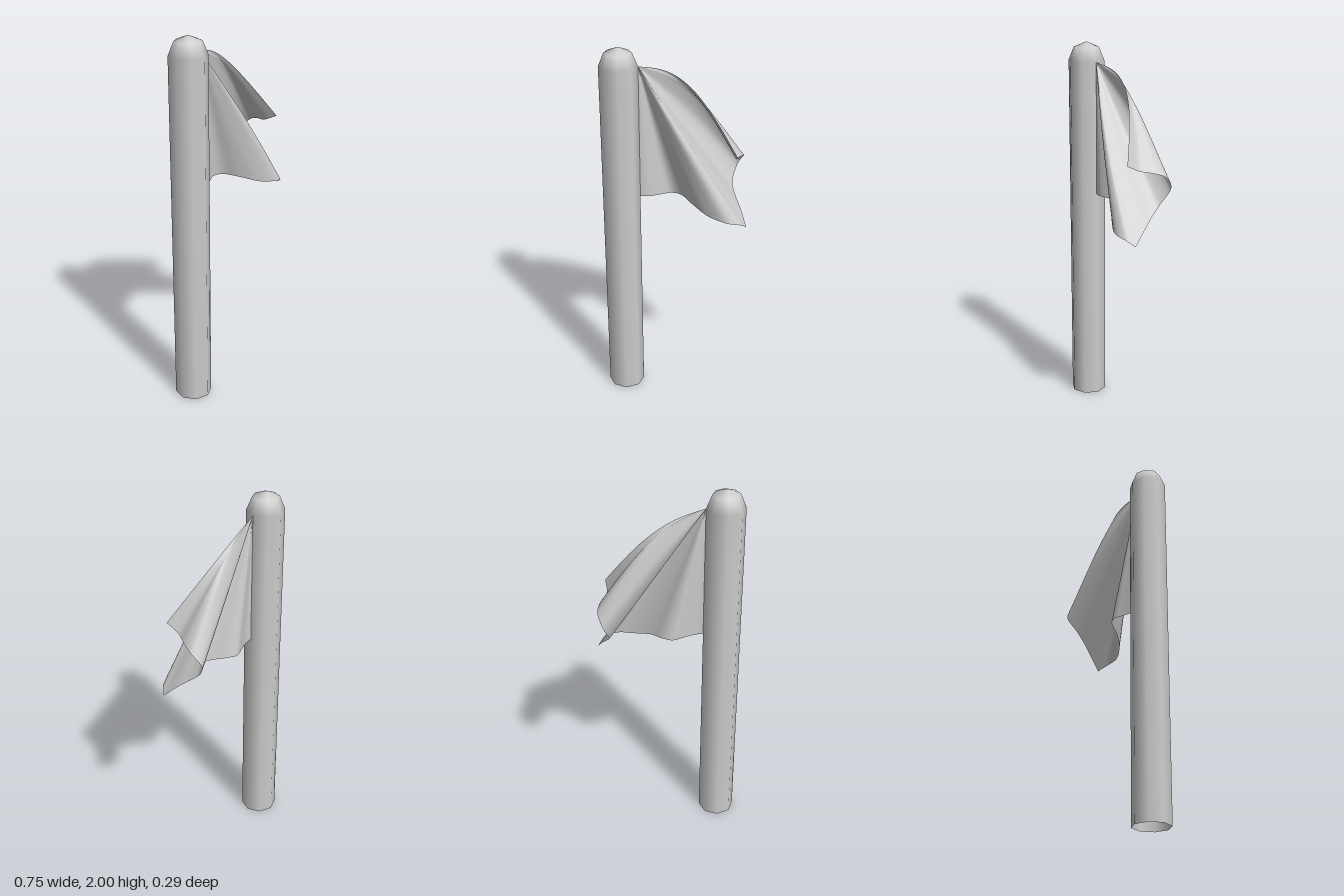
import * as THREE from 'three';

const cloth = new THREE.MeshStandardMaterial({ color: 0xcccccc, side: THREE.DoubleSide });
cloth.name = 'lightGrey';

const POLE_X = -0.28, POLE_Z = -0.021, R = 0.098, HEIGHT = 2;

// Hollow eight-sided pole with a rounded cap, open at the base
function makePole() {
  const base = HEIGHT - R, k = R * Math.SQRT1_2;
  const profile = [[R, 0], [R, base], [k, base + k], [0, HEIGHT]];
  const pole = new THREE.Mesh(
    new THREE.LatheGeometry(profile.map(([r, y]) => new THREE.Vector2(r, y)), 8), cloth);
  pole.position.set(POLE_X, 0, POLE_Z);
  pole.name = 'pole';
  return pole;
}

// Flag edges: x, y, z, then how far the fold from the top of the hoist bows in y and z
const flyEdge = [
  [0.315, 1.46, 0.105, 0.115, -0.083],
  [0.31, 1.425, 0.03, 0.115, -0.06],
  [0.345, 1.41, -0.04, 0.1, -0.035],
  [0.36, 1.385, -0.1, 0.07, -0.02],
  [0.335, 1.32, -0.145, 0.02, -0.01],
  [0.305, 1.235, -0.1, 0, 0],
  [0.315, 1.19, -0.05, 0, 0],
  [0.345, 1.13, 0.02, 0, 0.01],
  [0.37, 1.06, 0.09, 0, 0.02],
];
const lowerHem = [
  [0.37, 1.06, 0.09, 0, 0.02],
  [0.34, 1.09, 0.125, 0, 0.02],
  [0.27, 1.11, 0.145, 0, 0.012],
  [0.17, 1.13, 0.1, 0, 0],
  [0.09, 1.165, 0.03, 0, 0],
  [0.03, 1.185, -0.045, 0, 0],
  [-0.02, 1.185, -0.067, 0, 0],
  [-0.08, 1.186, -0.045, 0, 0],
  [-0.14, 1.187, -0.023, 0, 0],
  [-0.182, 1.19, POLE_Z, 0, 0],
];

// Smoothly sample an edge together with its bow
function sampleEdge(rows, n) {
  const rim = new THREE.CatmullRomCurve3(rows.map(([x, y, z]) => new THREE.Vector3(x, y, z)));
  const bow = new THREE.CatmullRomCurve3(
    rows.map(([, , , by, bz]) => new THREE.Vector3(0, by, bz)), false, 'catmullrom');
  return Array.from({ length: n + 1 }, (_, i) => ({ rim: rim.getPoint(i / n), bow: bow.getPoint(i / n) }));
}

// Draped flag: folds fan out from the top of the hoist to the edges
function makeFlag() {
  const top = new THREE.Vector3(-0.182, 1.9, POLE_Z);
  const rays = [...sampleEdge(flyEdge, 40), ...sampleEdge(lowerHem, 40).slice(1)];
  const steps = 24, positions = [], indices = [];
  rays.forEach(({ rim, bow }, i) => {
    for (let j = 0; j <= steps; j++) {
      const t = j / steps;
      const p = top.clone().lerp(rim, t).addScaledVector(bow, Math.sin(Math.PI * t));
      positions.push(p.x, p.y, p.z);
      if (i === 0 || j === 0) continue;
      const d = i * (steps + 1) + j, c = d - 1, b = d - steps - 1, a = b - 1;
      indices.push(a, d, b);
      if (j > 1) indices.push(a, c, d);
    }
  });
  const geometry = new THREE.BufferGeometry();
  geometry.setAttribute('position', new THREE.Float32BufferAttribute(positions, 3));
  geometry.setIndex(indices);
  geometry.computeVertexNormals();
  const flag = new THREE.Mesh(geometry, cloth);
  flag.name = 'flag';
  return flag;
}

export function createModel() {
  const group = new THREE.Group();
  group.name = 'flagOnPole';
  group.add(makePole(), makeFlag());
  return group;
}
